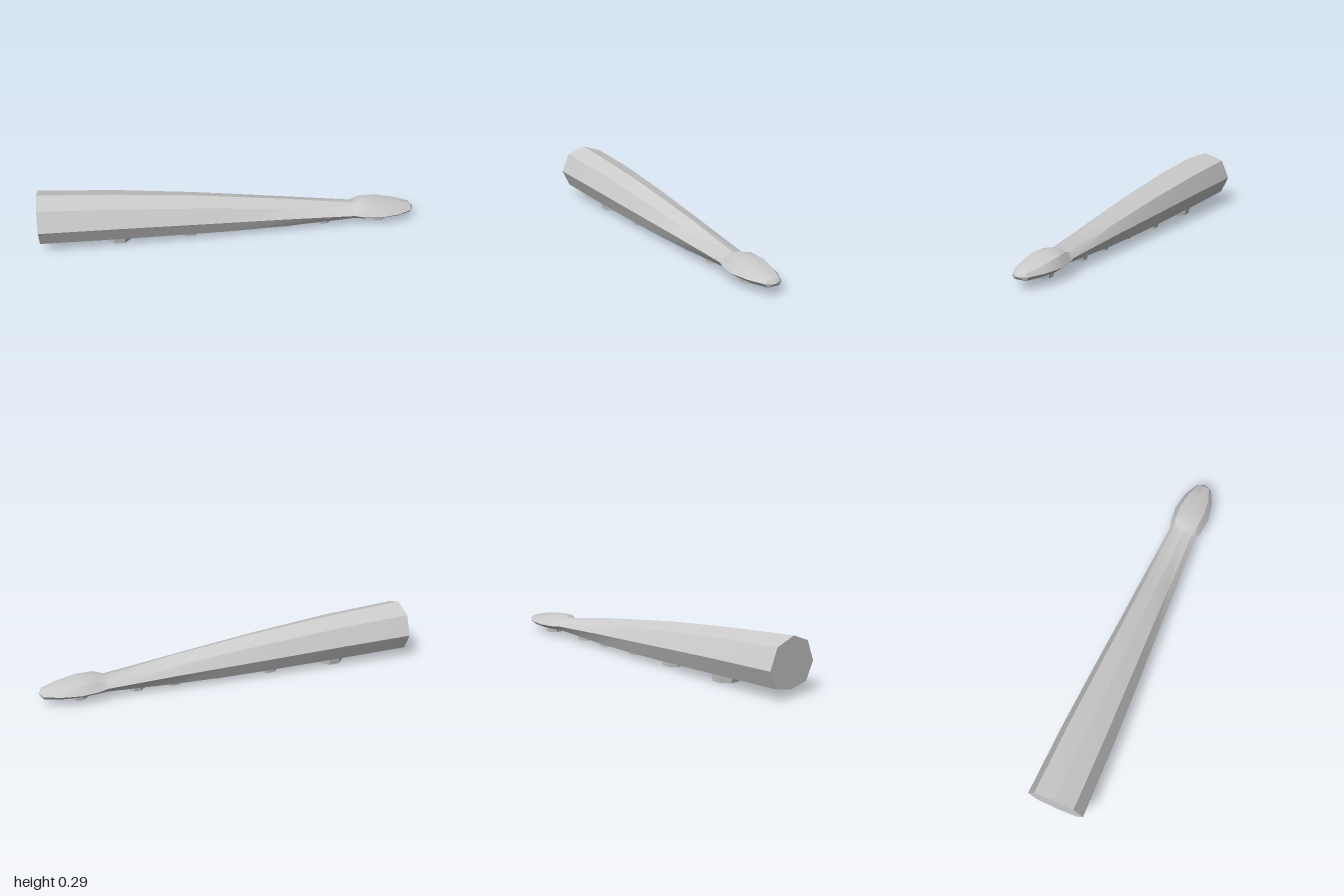
import * as THREE from 'three';
import { toCreasedNormals } from 'three/addons/utils/BufferGeometryUtils.js';

const material = new THREE.MeshStandardMaterial({ color: 0xcccccc });

// Cross-sections: x, bottom centre y, bottom edge y, middle y, shoulder y, top y, half width
const sections = [
  [-1, 0.04, 0.06, 0.15, 0.253, 0.29, 0.15],
  [-0.6, 0.033, 0.048, 0.137, 0.229, 0.262, 0.14],
  [-0.2, 0.025, 0.036, 0.116, 0.192, 0.225, 0.121],
  [0, 0.023, 0.031, 0.105, 0.17, 0.2, 0.11],
  [0.3, 0.027, 0.031, 0.09, 0.134, 0.162, 0.096],
  [0.66, 0.04, 0.04, 0.067, 0.091, 0.105, 0.077],
  [0.71, 0.04, 0.04, 0.062, 0.108, 0.123, 0.091],
  [0.8, 0.038, 0.038, 0.06, 0.104, 0.116, 0.1],
  [0.9, 0.038, 0.038, 0.06, 0.088, 0.099, 0.083],
  [0.98, 0.04, 0.04, 0.058, 0.074, 0.08, 0.045],
];

// Eight-sided ring, running from the top over the left-hand (+z) side
function ring([x, bottom, edge, mid, shoulder, top, w]) {
  return [
    [x, top, 0.005], [x, shoulder, w * 0.7], [x, mid, w], [x, edge, w * 0.7],
    [x, bottom, 0], [x, edge, -w * 0.7], [x, mid, -w], [x, shoulder, -w * 0.7],
  ];
}

function armGeometry() {
  const n = 8;
  const points = sections.flatMap(ring);
  const index = [];
  for (let i = 0; i < sections.length - 1; i++) {
    for (let j = 0; j < n; j++) {
      const a = i * n + j, b = i * n + (j + 1) % n;
      index.push(a, b, a + n, b, b + n, a + n);
    }
  }
  // Flat root cap and slightly pointed tip
  const root = points.length, tip = root + 1, last = (sections.length - 1) * n;
  points.push([-1, 0.15, 0], [1, 0.058, 0]);
  for (let j = 0; j < n; j++) {
    const k = (j + 1) % n;
    index.push(root, k, j, tip, last + j, last + k);
  }
  const geometry = new THREE.BufferGeometry();
  geometry.setAttribute('position', new THREE.Float32BufferAttribute(points.flat(), 3));
  geometry.setIndex(index);
  return toCreasedNormals(geometry, 0.6);
}

export function createModel() {
  const group = new THREE.Group();
  group.name = 'tentacle';

  const arm = new THREE.Mesh(armGeometry(), material);
  arm.name = 'arm';
  group.add(arm);

  // Suction cups: x, radius, lowest y
  const cups = [
    [-0.595, 0.08, 0], [-0.225, 0.067, 0.004], [0.06, 0.055, 0.01],
    [0.3, 0.055, 0.01], [0.5, 0.052, 0.01], [0.8, 0.055, 0.008],
  ];
  cups.forEach(([x, r, y], i) => {
    const height = 0.05 - y;
    const geometry = toCreasedNormals(
      new THREE.CylinderGeometry(r, r * 0.86, height, 8).rotateY(Math.PI / 8), 0.5);
    const cup = new THREE.Mesh(geometry, material);
    cup.position.set(x, y + height / 2, 0);
    cup.name = `suctionCup${i + 1}`;
    group.add(cup);
  });
  return group;
}
